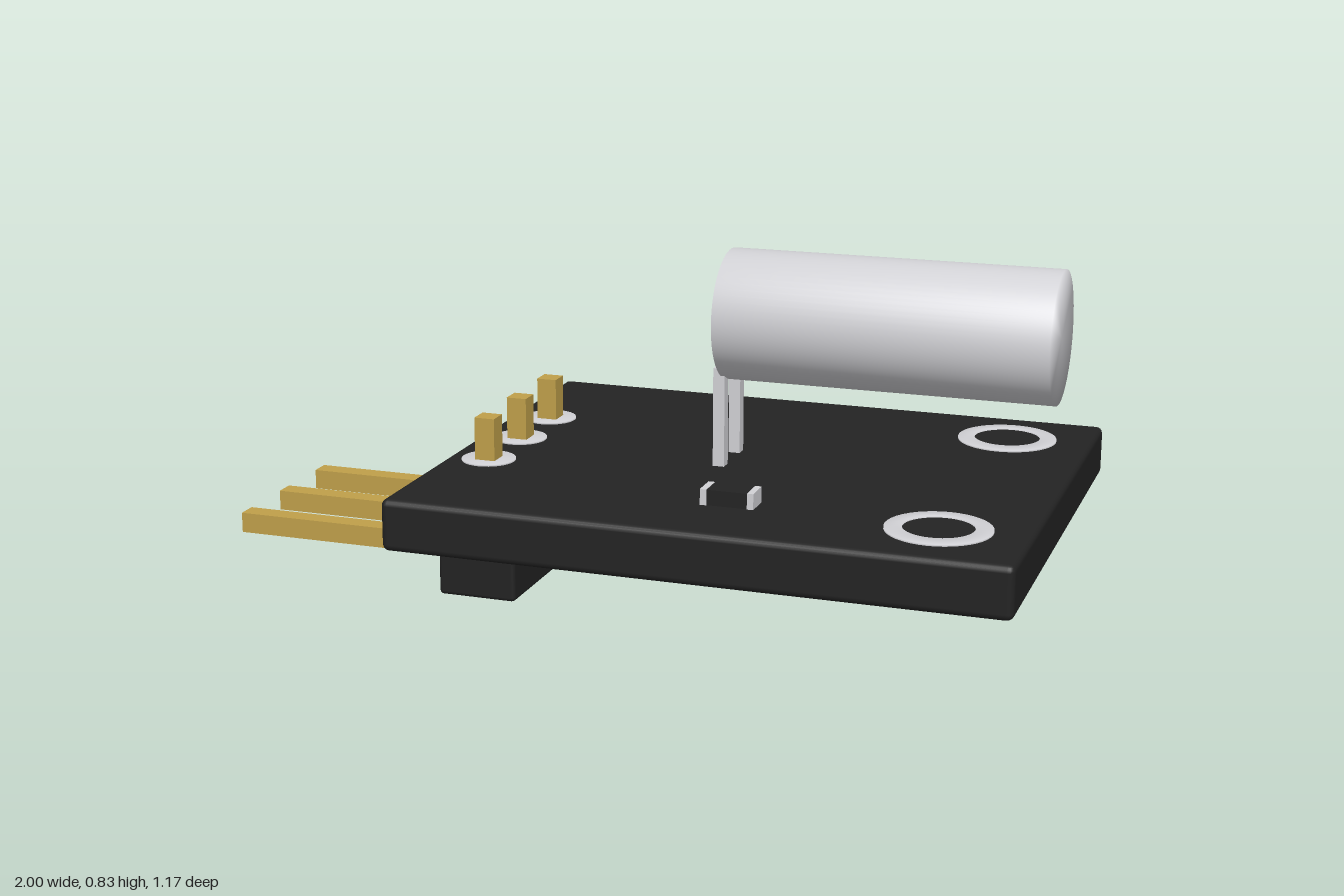
import * as THREE from 'three';
import { mergeVertices } from 'three/addons/utils/BufferGeometryUtils.js';
import { RoundedBoxGeometry } from 'three/addons/geometries/RoundedBoxGeometry.js';

const mat = (name, color) => {
  const m = new THREE.MeshStandardMaterial({ color });
  m.name = name;
  return m;
};

// Shares vertices across edges so that the shading runs smoothly over rims
function softened(geometry) {
  geometry.deleteAttribute('uv');
  geometry.deleteAttribute('normal');
  const merged = mergeVertices(geometry, 1e-4);
  merged.computeVertexNormals();
  return merged;
}

export function createModel() {
  const model = new THREE.Group();
  model.name = 'tiltSensorModule';
  const black = mat('matte black', 0x232323);
  const silver = mat('silver', 0xd2d2d6);
  const gold = mat('gold', 0xc0a04a);

  const add = (name, geometry, material, x, y, z) => {
    const mesh = new THREE.Mesh(geometry, material);
    mesh.name = name;
    mesh.position.set(x, y, z);
    model.add(mesh);
    return mesh;
  };
  // Box given by its extents along each axis
  const block = (name, material, [x0, x1], [y0, y1], [z0, z1], radius = 0) => {
    const size = [x1 - x0, y1 - y0, z1 - z0];
    const geometry = radius
      ? new RoundedBoxGeometry(...size, 2, radius)
      : new THREE.BoxGeometry(...size);
    return add(name, geometry, material, (x0 + x1) / 2, (y0 + y1) / 2, (z0 + z1) / 2);
  };

  // Circuit board and the pin header below it
  const top = 0.32;
  block('board', black, [-0.445, 1], [0.197, top], [-0.585, 0.585], 0.016);
  block('headerBody', black, [-0.435, -0.24], [0, 0.2], [-0.295, 0.295], 0.01);

  // Header pins with their solder pads
  const padShape = softened(new THREE.CylinderGeometry(0.065, 0.065, 0.008, 32));
  for (const z of [-0.2, 0, 0.2]) {
    const width = [z - 0.025, z + 0.025];
    block('headerPin', gold, [-1, -0.4], [0.075, 0.125], width);
    block('pinTip', gold, [-0.365, -0.315], [0.19, 0.427], width);
    add('solderPad', padShape, silver, -0.34, top, z);
  }

  // Mounting holes: a low metal ring around a dark centre
  const ringProfile = [[0.08, -0.006], [0.12, -0.006], [0.12, 0.004], [0.08, 0.006], [0.08, -0.006]]
    .map(([r, y]) => new THREE.Vector2(r, y));
  const ringShape = new THREE.LatheGeometry(ringProfile, 40);
  const holeShape = new THREE.CylinderGeometry(0.08, 0.08, 0.004, 40);
  for (const z of [-0.385, 0.385]) {
    add('mountingRing', ringShape, silver, 0.795, top, z);
    add('mountingHole', holeShape, black, 0.795, top, z);
  }

  // Metal can lying above the board, carried by two leads
  const can = add('sensorCan', softened(new THREE.CylinderGeometry(0.155, 0.155, 0.78, 64)),
    silver, 0.59, 0.675, 0);
  can.rotation.z = Math.PI / 2;
  for (const z of [-0.0625, 0.0625]) {
    block('sensorLead', silver, [0.182, 0.21], [0.3, 0.558], [z - 0.015, z + 0.015]);
  }

  // Small surface resistor with metal end caps
  block('resistorBody', black, [0.265, 0.36], [0.31, 0.356], [0.322, 0.382]);
  for (const x of [0.25, 0.36]) {
    block('resistorEnd', silver, [x, x + 0.015], [0.31, 0.357], [0.32, 0.384]);
  }

  return model;
}
